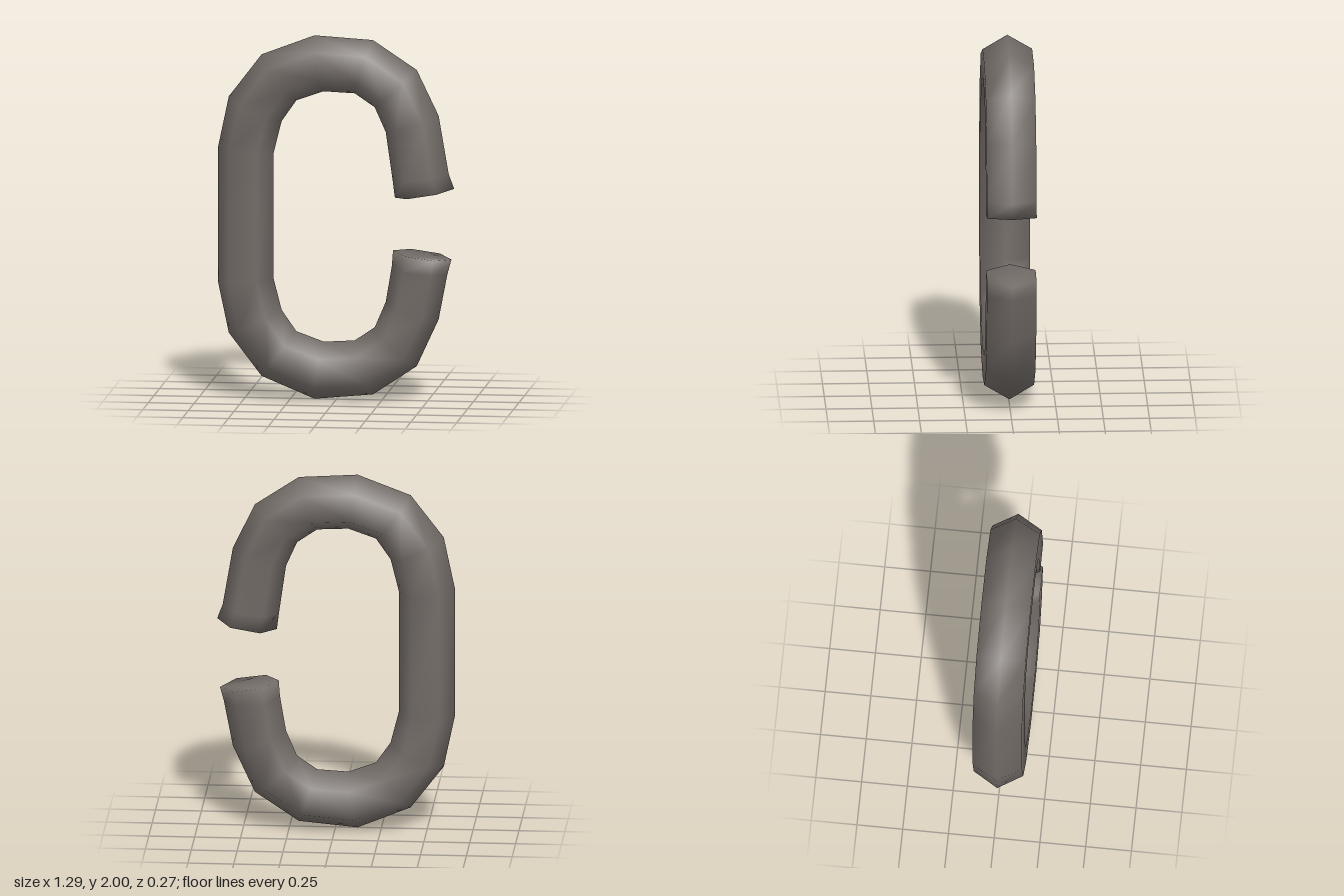
import * as THREE from 'three';

// Section stations along the link: [outer x, outer y, inner x, inner y]
const STATIONS = [
  [0.645, 1.17, 0.32, 1.115],
  [0.615, 1.25, 0.308, 1.21],
  [0.56, 1.57, 0.27, 1.475],
  [0.44, 1.82, 0.21, 1.61],
  [0.20, 1.98, 0.10, 1.685],
  [-0.12, 2.0, -0.07, 1.693],
  [-0.41, 1.89, -0.22, 1.64],
  [-0.59, 1.655, -0.30, 1.525],
  [-0.65, 1.37, -0.345, 1.345],
  [-0.65, 0.64, -0.345, 0.66],
  [-0.59, 0.355, -0.30, 0.485],
  [-0.41, 0.12, -0.22, 0.37],
  [-0.12, 0, -0.07, 0.315],
  [0.20, 0.03, 0.10, 0.325],
  [0.44, 0.19, 0.21, 0.40],
  [0.56, 0.45, 0.27, 0.54],
  [0.608, 0.70, 0.303, 0.735],
  [0.63, 0.78, 0.31, 0.825],
];
const SIDES = 6;
const HALF_DEPTH = 0.135;

// Six-sided bar swept through the stations, closed at both ends
function linkGeometry() {
  const positions = [];
  const index = [];
  for (const [ox, oy, ix, iy] of STATIONS) {
    for (let j = 0; j < SIDES; j++) {
      const a = (j / SIDES) * Math.PI * 2;
      const t = (1 + Math.cos(a)) / 2;
      const z = (HALF_DEPTH * Math.sin(a)) / Math.sin(Math.PI / 3);
      positions.push(ix + (ox - ix) * t, iy + (oy - iy) * t, z);
    }
  }
  const last = (STATIONS.length - 1) * SIDES;
  for (let i = 0; i < last; i += SIDES) {
    for (let j = 0; j < SIDES; j++) {
      const k = (j + 1) % SIDES;
      const a = i + j, b = i + k, c = a + SIDES, d = b + SIDES;
      index.push(a, c, b, b, c, d);
    }
  }
  // End faces share the bar's vertices so the rims shade softly
  for (let j = 1; j < SIDES - 1; j++) {
    index.push(0, j, j + 1);
    index.push(last, last + j + 1, last + j);
  }
  const geometry = new THREE.BufferGeometry();
  geometry.setAttribute('position', new THREE.Float32BufferAttribute(positions, 3));
  geometry.setIndex(index);
  geometry.computeVertexNormals();
  return geometry;
}

export function createModel() {
  const iron = new THREE.MeshStandardMaterial({ color: 0x736c68 });
  iron.name = 'dark iron';

  const link = new THREE.Mesh(linkGeometry(), iron);
  link.name = 'openChainLink';

  const model = new THREE.Group();
  model.name = 'brokenChainLink';
  model.add(link);
  return model;
}
